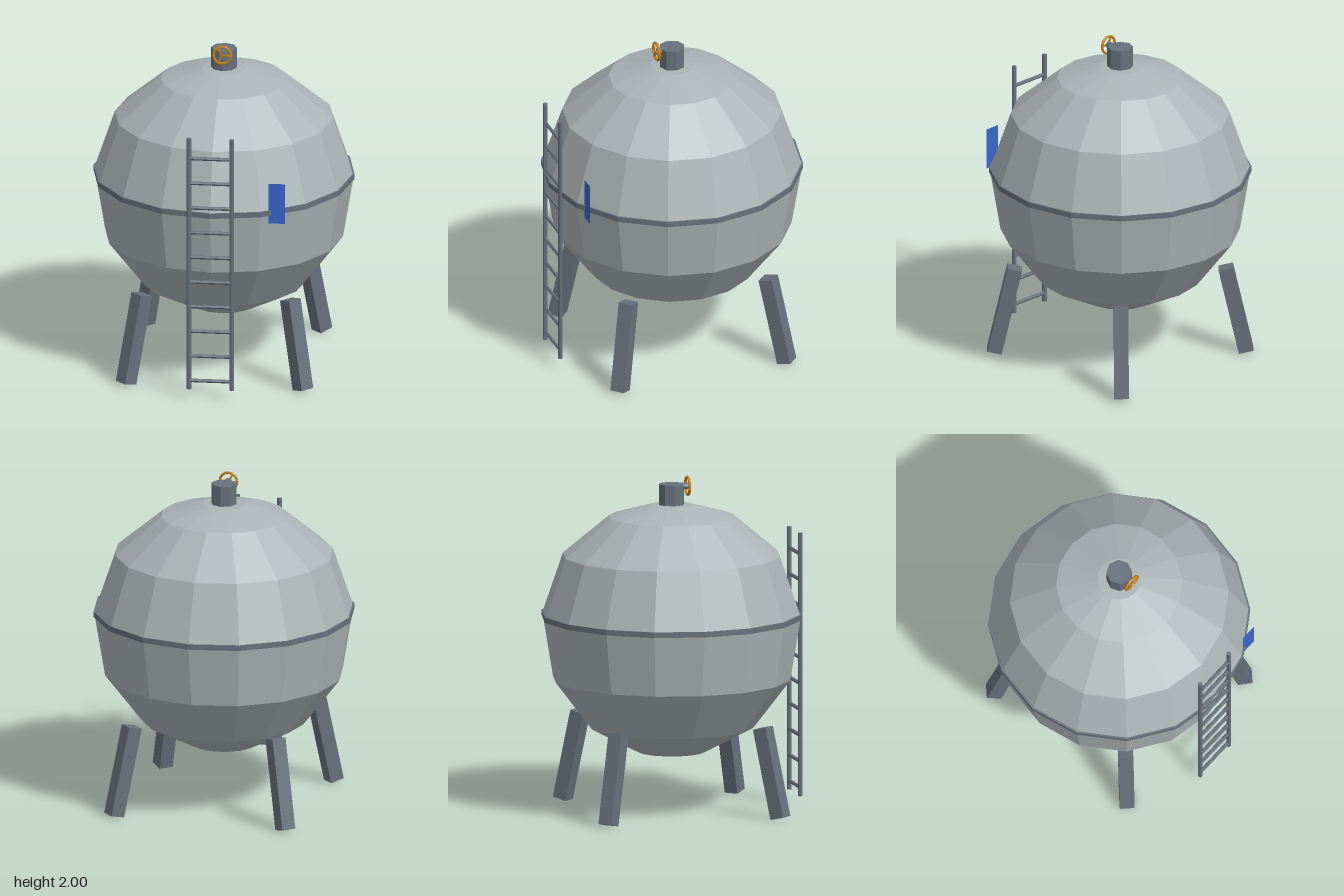
import * as THREE from 'three';

const mat = (name, color, extra = {}) =>
  Object.assign(new THREE.MeshStandardMaterial({ color, flatShading: true, ...extra }), { name });

export function createModel() {
  const root = new THREE.Group();
  root.name = 'sphericalTank';
  const shellGrey = mat('shellGrey', 0xaab4b6);
  const steel = mat('darkSteel', 0x66717c);
  const amber = mat('amber', 0xc8851c);
  const blue = mat('signBlue', 0x3a66cc, { side: THREE.DoubleSide });

  const add = (parent, name, geometry, material, x = 0, y = 0, z = 0) => {
    const mesh = new THREE.Mesh(geometry, material);
    mesh.name = name;
    mesh.position.set(x, y, z);
    parent.add(mesh);
    return mesh;
  };
  const group = (name) => {
    const g = new THREE.Group();
    g.name = name;
    root.add(g);
    return g;
  };

  // Faceted tank shell, profile from bottom to top
  const profile = [
    [0, 0.35], [0.2, 0.35], [0.488, 0.5], [0.71, 0.79], [0.773, 1.17],
    [0.65, 1.53], [0.375, 1.76], [0.13, 1.83], [0, 1.835],
  ].map(([r, y]) => new THREE.Vector2(r, y));
  add(root, 'tankShell', new THREE.LatheGeometry(profile, 16), shellGrey);

  // Band around the equator
  add(root, 'equatorBand', new THREE.CylinderGeometry(0.778, 0.778, 0.032, 16), steel, 0, 1.17, 0);

  // Hatch neck on top
  add(root, 'hatchNeck', new THREE.CylinderGeometry(0.077, 0.077, 0.135, 8), steel, 0, 1.8875, 0);

  // Valve stem and hand wheel facing the front
  const valve = group('valve');
  valve.position.set(0, 1.94, 0.098);
  add(valve, 'valveStem', new THREE.CylinderGeometry(0.02, 0.02, 0.065, 8), steel, 0, 0, -0.03)
    .rotation.x = Math.PI / 2;
  add(valve, 'wheelRim', new THREE.TorusGeometry(0.053, 0.008, 6, 16), amber);
  for (let i = 0; i < 3; i++) {
    const a = (i * Math.PI * 2) / 3;
    add(valve, 'wheelSpoke', new THREE.BoxGeometry(0.053, 0.01, 0.01), amber,
      Math.cos(a) * 0.0265, Math.sin(a) * 0.0265, 0.004).rotation.z = a;
  }

  // Ladder on the front
  const ladder = group('ladder');
  for (const s of [-1, 1]) {
    add(ladder, 'ladderRail', new THREE.CylinderGeometry(0.014, 0.014, 1.58, 8), steel, s * 0.128, 0.86, 0.755);
  }
  for (let i = 0; i < 10; i++) {
    add(ladder, 'ladderRung', new THREE.CylinderGeometry(0.011, 0.011, 0.256, 6), steel, 0, 0.123 + i * 0.1556, 0.755)
      .rotation.z = Math.PI / 2;
  }

  // Flat sign plate
  add(root, 'signPlate', new THREE.PlaneGeometry(0.097, 0.25), blue, 0.387, 1.23, 0.682);

  // Four splayed legs on the diagonals
  const legs = group('legs');
  for (let i = 0; i < 4; i++) {
    const pivot = new THREE.Group();
    pivot.name = 'leg';
    pivot.rotation.y = Math.PI / 4 + (i * Math.PI) / 2;
    legs.add(pivot);
    add(pivot, 'legBeam', new THREE.BoxGeometry(0.088, 0.545, 0.088), steel, 0, 0.2755, 0.686)
      .rotation.x = -0.222;
  }
  return root;
}
